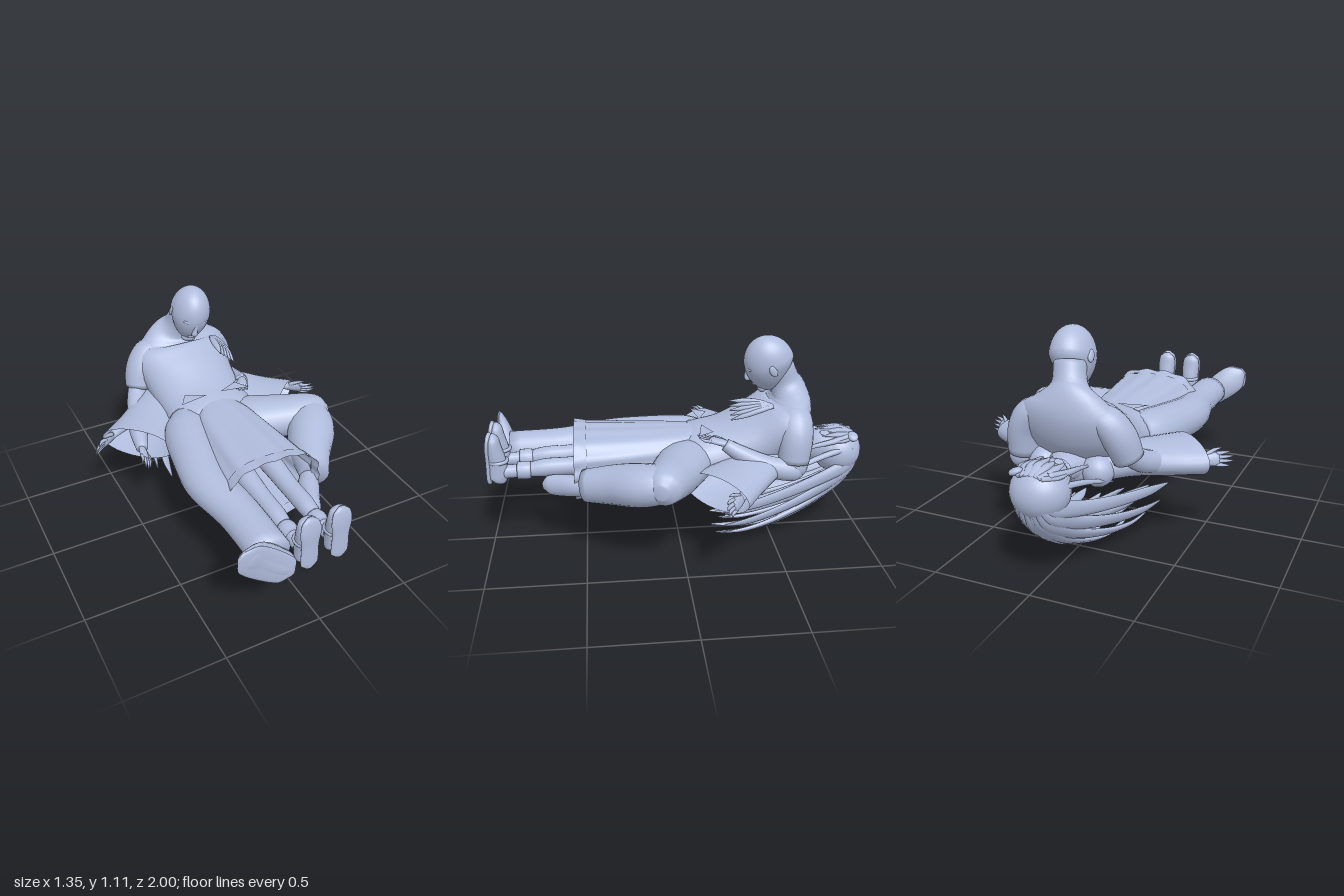
import * as THREE from 'three';

const clay = new THREE.MeshStandardMaterial({ color: 0xb0bcdc, side: THREE.DoubleSide });
clay.name = 'pale blue clay';
const V = (x, y, z) => new THREE.Vector3(x, y, z);

// Smooth limb through sections [x, y, z, halfWidth, halfDepth]; width lies along up x path.
// folds/depth pleat the far end, square pushes the diagonals outward.
function loftGeometry(pts, { n = 18, steps = 5, up = V(0, 1, 0), open = false, folds = 0, depth = 0, square = 0 } = {}) {
  const path = new THREE.CatmullRomCurve3(pts.map(p => V(p[0], p[1], p[2])));
  const size = new THREE.CatmullRomCurve3(pts.map((p, i) => V(p[3], p[4] ?? p[3], i)));
  const rings = (pts.length - 1) * steps, pos = [], idx = [];
  for (let i = 0; i <= rings; i++) {
    const t = i / rings, c = path.getPoint(t), T = path.getTangent(t), r = size.getPoint(t);
    const S = up.clone().cross(T).normalize(), U = T.clone().cross(S);
    for (let j = 0; j < n; j++) {
      const a = j / n * Math.PI * 2, k = 1 + depth * t * Math.cos(a * folds) + square * Math.sin(2 * a) ** 2;
      const p = c.clone().addScaledVector(S, Math.cos(a) * Math.max(r.x, 0.001) * k)
        .addScaledVector(U, Math.sin(a) * Math.max(r.y, 0.001) * k);
      pos.push(p.x, p.y, p.z);
      if (i < rings) {
        const q = i * n + j, w = i * n + (j + 1) % n;
        idx.push(q, w, q + n, w, w + n, q + n);
      }
    }
  }
  if (!open) {
    const first = pos.length / 3, s = pts[0], e = pts[pts.length - 1];
    pos.push(s[0], s[1], s[2], e[0], e[1], e[2]);
    for (let j = 0; j < n; j++) {
      const k = (j + 1) % n;
      idx.push(first, k, j, first + 1, rings * n + j, rings * n + k);
    }
  }
  const g = new THREE.BufferGeometry();
  g.setAttribute('position', new THREE.Float32BufferAttribute(pos, 3));
  g.setIndex(idx);
  g.computeVertexNormals();
  return g;
}

function add(parent, name, geometry, p = [0, 0, 0], rot = [0, 0, 0], scale = [1, 1, 1]) {
  const m = new THREE.Mesh(geometry, clay);
  m.name = name;
  m.position.set(...p); m.rotation.set(...rot); m.scale.set(...scale);
  parent.add(m);
}
const loft = (parent, name, pts, opt) => add(parent, name, loftGeometry(pts, opt));
const flip = (pts, s) => pts.map(([x, ...r]) => [x * s, ...r]);

// Palm, four fingers and a thumb reaching from base along dir; the thumb is on the side given.
function hand(parent, name, base, dir, side, len) {
  const g = new THREE.Group(); g.name = name; parent.add(g);
  const d = V(...dir).normalize(), s = V(...side).normalize(), b = V(...base), up = d.clone().cross(s);
  const at = (f, o, h, a, c) => [...b.clone().addScaledVector(d, f * len).addScaledVector(s, o * len)
    .addScaledVector(up, h * len).toArray(), a * len, c * len];
  loft(g, 'palm', [at(-0.1, 0, 0, .13, .11), at(.2, 0, 0, .2, .11), at(.5, 0, 0, .21, .09), at(.56, 0, 0, .16, .04)], { n: 12, up });
  for (let i = 0; i < 4; i++) {
    const o = (i - 1.5) * .11, l = i === 0 || i === 3 ? .88 : 1;
    loft(g, 'finger', [at(.45, o, 0, .065, .065), at(.75 * l, o * 1.15, .02, .055, .055), at(l, o * 1.3, -.05, .02, .02)], { n: 8, steps: 3, up });
  }
  loft(g, 'thumb', [at(.1, .13, 0, .08, .08), at(.4, .29, 0, .055, .055), at(.6, .34, 0, .02, .02)], { n: 8, steps: 3, up });
}

function seatedFigure() {
  const g = new THREE.Group(); g.name = 'seatedFigure';
  const bent = { n: 28, up: V(0, 1, 1) }, zUp = { up: V(0, 0, 1) };
  loft(g, 'shirtAndNeck', [[0, .49, .02, .16, .09], [0, .49, -.08, .24, .13], [0, .51, -.25, .24, .15], [0, .58, -.43, .255, .165],
    [0, .67, -.54, .275, .145], [0, .74, -.585, .25, .115], [0, .8, -.585, .175, .098], [.005, .86, -.56, .09, .08], [.02, .95, -.52, .078, .078]], bent);

  // Head: bowed, narrowing to the jaw
  const head = new THREE.Group(); head.name = 'head';
  head.position.set(.03, .965, -.47); head.rotation.set(.35, -.14, -.12);
  g.add(head);
  const skull = new THREE.SphereGeometry(1, 32, 24), p = skull.attributes.position;
  for (let i = 0; i < p.count; i++) {
    const x = p.getX(i), y = p.getY(i), z = p.getZ(i), low = Math.max(0, -y);
    p.setXYZ(i, x * .106 * (1 - .25 * low), y * .148, z * .13 * (1 - .25 * low) + low * .035);
  }
  skull.computeVertexNormals();
  add(head, 'skull', skull);
  loft(head, 'nose', [[0, .02, .118, .008, .008], [0, -.02, .128, .012, .012], [0, -.045, .134, .017, .014], [0, -.055, .122, .01, .008]], zUp);
  add(head, 'mouth', new THREE.SphereGeometry(1, 14, 8), [0, -.085, .11], [0, 0, 0], [.026, .007, .008]);
  add(head, 'chin', new THREE.SphereGeometry(1, 14, 10), [0, -.118, .077], [0, 0, 0], [.042, .03, .026]);
  for (const s of [-1, 1]) {
    add(head, 'ear', new THREE.SphereGeometry(1, 14, 10), [s * .104, -.005, -.01], [.2, s * .25, 0], [.009, .032, .02]);
    add(head, 'brow', new THREE.SphereGeometry(1, 12, 8), [s * .04, .02, .109], [0, s * .35, 0], [.032, .01, .01]);
  }

  // Arms
  loft(g, 'leftSleeve', [[.13, .74, -.585, .05, .07], [.19, .705, -.585, .075, .085], [.235, .63, -.58, .08, .088], [.25, .5, -.57, .078, .08]], zUp);
  loft(g, 'leftElbow', [[.25, .54, -.57, .06], [.26, .47, -.58, .06], [.265, .43, -.57, .03]], zUp);
  loft(g, 'leftForearm', [[.265, .45, -.61, .03], [.27, .46, -.57, .056], [.275, .49, -.44, .055], [.25, .56, -.29, .042], [.225, .6, -.22, .032]]);
  hand(g, 'leftHand', [.225, .605, -.22], [-.4, .1, .7], [-.8, 0, -.5], .15);
  loft(g, 'rightSleeve', [[-.13, .74, -.58, .05, .07], [-.195, .705, -.58, .075, .085], [-.245, .63, -.56, .082, .088], [-.275, .53, -.53, .075, .078]], zUp);
  loft(g, 'rightForearm', [[-.275, .55, -.54, .05], [-.32, .49, -.45, .056], [-.39, .43, -.26, .05], [-.42, .4, -.14, .032]]);
  hand(g, 'rightHand', [-.42, .4, -.14], [-.15, -.15, .9], [.7, -.7, 0], .14);

  // Trousers and feet
  loft(g, 'rightTrouserLeg', [[-.15, .49, -.14, .1, .1], [-.19, .485, -.04, .13, .115], [-.24, .475, .17, .125, .108], [-.265, .465, .35, .118, .1],
    [-.23, .45, .6, .105, .09], [-.225, .445, .9, .1, .085]]);
  loft(g, 'rightFoot', [[-.15, .35, .92, .02, .02], [-.17, .37, .925, .065, .05], [-.22, .41, .92, .075, .06], [-.31, .485, .935, .085, .045],
    [-.37, .535, .955, .075, .03], [-.415, .57, .965, .02, .01]], zUp);
  loft(g, 'rightSole', [[-.15, .35, .965, .02, .01], [-.18, .375, .965, .07, .012], [-.29, .465, .965, .086, .012], [-.38, .54, .97, .075, .012],
    [-.42, .575, .972, .02, .008]], zUp);
  loft(g, 'leftThigh', [[.08, .48, -.12, .09, .09], [.17, .485, -.03, .14, .112], [.34, .495, .05, .13, .108], [.46, .51, .1, .11, .1],
    [.53, .51, .125, .085, .08], [.565, .51, .135, .03, .035]]);
  loft(g, 'leftShin', [[.49, .515, .07, .06, .07], [.46, .505, .13, .105, .095], [.41, .485, .22, .125, .105], [.33, .455, .34, .11, .1], [.265, .425, .49, .075, .085]]);
  loft(g, 'leftFoot', [[.25, .41, .46, .045], [.2, .395, .54, .055], [.165, .385, .62, .045, .058], [.145, .38, .68, .035, .05], [.14, .375, .71, .015, .02]]);
  return g;
}

function recliningFigure() {
  const g = new THREE.Group(); g.name = 'recliningFigure';
  const zUp = V(0, 0, 1);
  loft(g, 'bodice', [[0, .47, -.1, .1, .1], [0, .47, -.3, .1, .09], [0, .48, -.45, .13, .1], [0, .46, -.58, .15, .075], [0, .46, -.65, .06, .055], [0, .46, -.74, .045, .045]]);
  loft(g, 'collar', [[0, .47, -.56, .13, .08], [0, .48, -.63, .09, .07], [0, .48, -.69, .065, .06]], { open: true });

  // Pleated skirt with a hem band
  const pleats = { n: 96, open: true, folds: 14, depth: .025, square: .1 };
  loft(g, 'skirt', [[0, .49, -.12, .12, .13], [0, .48, 0, .17, .143], [0, .465, .28, .212, .162], [0, .46, .5, .236, .172]], pleats);
  loft(g, 'hemBand', [[0, .46, .48, .24, .175], [0, .46, .545, .25, .182]], pleats);
  for (const s of [-1, 1]) {
    const tie = new THREE.Shape([new THREE.Vector2(0, 0), new THREE.Vector2(s * .11, .05), new THREE.Vector2(s * .16, -.03)]);
    add(g, 'waistTie', new THREE.ShapeGeometry(tie), [s * .04, .64, -.12], [-Math.PI / 2, 0, 0]);
  }

  for (const s of [-1, 1]) {
    // Legs, socks and shoes
    loft(g, 'leg', flip([[.07, .47, -.05, .07], [.08, .475, .3, .06], [.08, .455, .55, .048], [.08, .45, .7, .047], [.08, .44, .8, .036], [.08, .435, .94, .036]], s));
    loft(g, 'sockCuff', flip([[.08, .44, .77, .044], [.08, .44, .8, .048], [.08, .44, .84, .045]], s));
    loft(g, 'shoe', flip([[.08, .38, .955, .02, .02], [.08, .4, .945, .045, .05], [.08, .48, .94, .047, .05], [.08, .57, .95, .052, .04], [.08, .62, .952, .045, .03], [.08, .645, .955, .015, .012]], s), { up: zUp });
    loft(g, 'shoeSole', flip([[.08, .374, .985, .02, .012], [.08, .4, .986, .045, .014], [.08, .5, .984, .045, .014], [.08, .58, .983, .054, .014], [.08, .63, .975, .043, .013], [.08, .652, .968, .015, .01]], s), { up: zUp });
    add(g, 'shoeStrap', new THREE.TorusGeometry(.046, .01, 8, 20), [s * .08, .5, .935], [Math.PI / 2, 0, 0]);

    // Wide sleeve, arm and hand
    loft(g, 'wideSleeve', flip([[.12, .47, -.56, .08, .07], [.22, .47, -.4, .13, .08], [.34, .45, -.25, .17, .085], [.445, .44, -.14, .2, .09]], s), { n: 28, open: true });
    loft(g, 'arm', flip([[.13, .47, -.57, .045], [.35, .46, -.37, .035], [.55, .46, -.245, .022, .02]], s));
    hand(g, 'hand', [s * .54, .457, -.25], [s * .13, -.005, .09], [-s * .1, .9, .3], .16);

    // Side locks framing the face
    loft(g, 'sideLock', flip([[.1, .5, -.92, .02, .015], [.13, .48, -.8, .02, .015], [.16, .45, -.68, .018, .012], [.21, .41, -.56, .004]], s), { n: 8 });
    loft(g, 'cheekLock', flip([[.07, .555, -.92, .02, .014], [.108, .54, -.82, .02, .014], [.11, .515, -.7, .014, .01], [.115, .49, -.6, .004]], s), { n: 8 });
    add(g, 'eye', new THREE.SphereGeometry(1, 14, 10), [s * .05, .568, -.785], [0, 0, -s * .35], [.022, .004, .026]);
    add(g, 'shoulderPuff', new THREE.SphereGeometry(.08, 18, 12), [s * .14, .46, -.57]);
  }

  // Face turned upward, hair cap and fringe
  const face = new THREE.SphereGeometry(1, 28, 20), f = face.attributes.position;
  for (let i = 0; i < f.count; i++) f.setX(i, f.getX(i) * (1 - .4 * Math.max(0, f.getZ(i))));
  face.computeVertexNormals();
  add(g, 'face', face, [0, .475, -.81], [0, 0, 0], [.118, .1, .14]);
  add(g, 'nose', new THREE.ConeGeometry(.006, .012, 8), [0, .575, -.755]);
  add(g, 'hairCap', new THREE.SphereGeometry(1, 32, 24), [0, .455, -.87], [0, 0, 0], [.14, .128, .13]);
  for (let i = -3; i <= 3; i++) {
    const x = i * .033, y = .576 - i * i * .004, even = 1 - Math.abs(i % 2);
    loft(g, 'fringe', [[x * .5, .55, -.95, .02, .01], [x * .95, y, -.88, .026, .012],
      [x * 1.05, y, -.83, .02, .009], [x * 1.08, y - .002, -.8 + even * .03, .003]], { n: 8 });
  }
  add(g, 'hairpin', new THREE.SphereGeometry(1, 14, 10), [.085, .555, -.93], [0, 0, -.4], [.035, .018, .03]);

  // Long hair fanning out beneath the body in three layers
  for (const [count, span, reach, endZ, w] of [[9, 1.4, 1, -.19, .036], [9, 1.25, .76, -.21, .028], [5, .9, .5, -.25, .03]]) {
    for (let i = 0; i < count; i++) {
      const a = (i / (count - 1) * 2 - 1) * span, x = Math.sin(a), y = Math.cos(a), z = endZ - Math.abs(a) * .02;
      const pt = (rx, cy, ry, pz, r, th) => [rx * x * reach, cy - ry * y * reach, pz, r, th];
      loft(g, 'hairStrand', [pt(.06, .45, .03, -.965, w * .7, .02), pt(.1, .42, .13, -.9, w * 1.15, .022), pt(.15, .385, .225, -.75, w * 1.1, .019),
        pt(.24, .36, .305, -.53, w * .95, .015), pt(.32, .35, .335, -.34, w * .75, .011), pt(.36, .345, .325, z, .006, .004)],
        { n: 10, steps: 4, up: V(-x, y, .01) });
    }
  }
  return g;
}

// Loose spray of slim curved petals beside the chest
function petalSpray() {
  const g = new THREE.Group(); g.name = 'petalSpray';
  for (let i = 0; i < 5; i++) {
    const o = (i - 2) * .017, drop = i * .014;
    loft(g, 'petal', [[.165 + o * .3, .775, -.47, .008], [.16 + o * .7, .79 - drop * .5, -.4, .018, .014],
      [.155 + o, .795 - drop, -.32, .018, .012], [.148 + o * 1.2, .79 - drop * 1.3, -.25, .003]], { n: 8 });
  }
  return g;
}

export function createModel() {
  const model = new THREE.Group();
  model.name = 'figurePair';
  model.add(seatedFigure(), recliningFigure(), petalSpray());
  return model;
}
